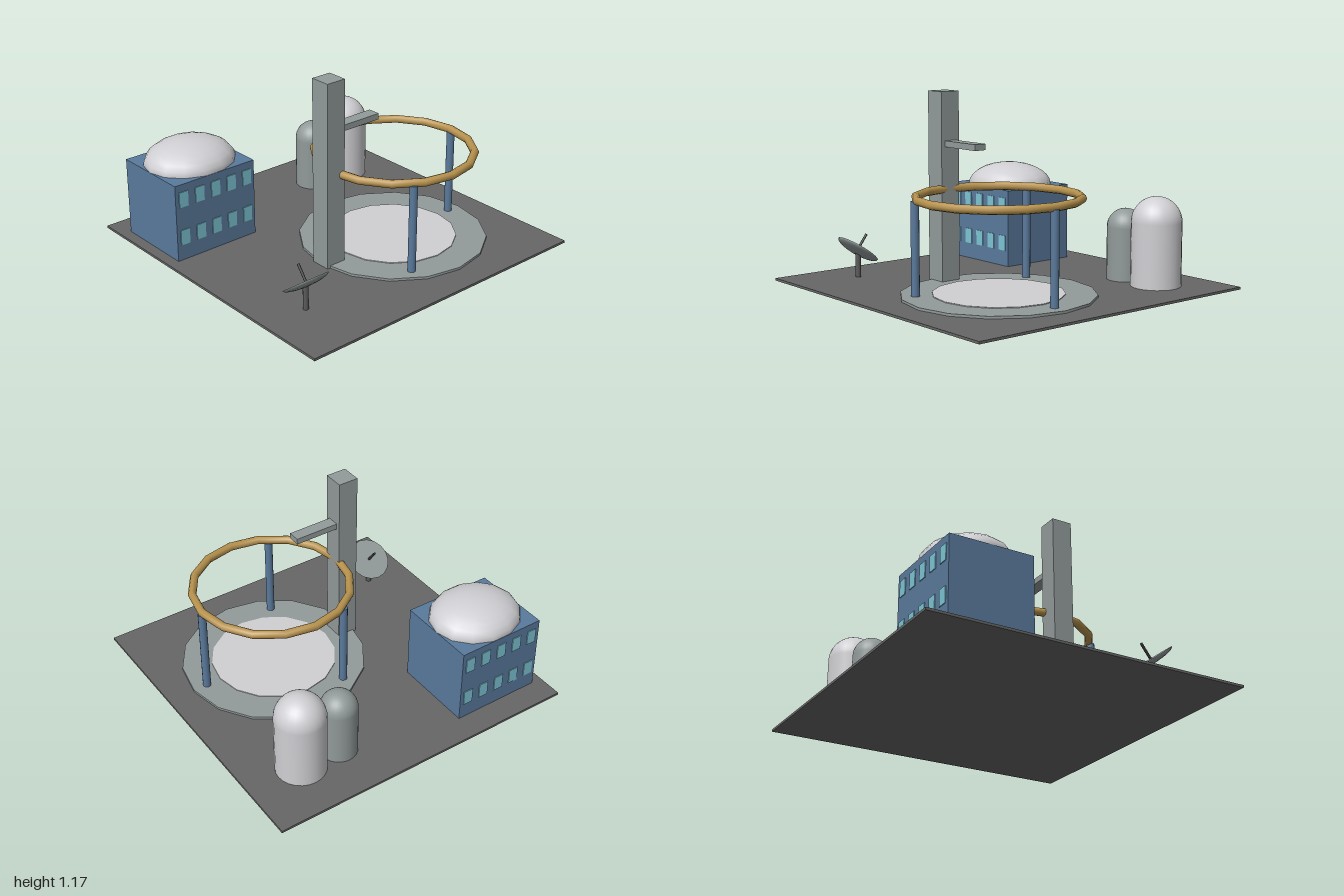
import * as THREE from 'three';

const material = (name, color) => {
  const m = new THREE.MeshStandardMaterial({ color });
  m.name = name;
  return m;
};

export function createModel() {
  const asphalt = material('asphalt', 0x666666);
  const grey = material('concreteGrey', 0x929a9a);
  const pale = material('paleGrey', 0xd0d0d4);
  const blue = material('steelBlue', 0x5a7a9c);
  const glass = material('windowGlass', 0x7cc4d4);
  const gold = material('ochre', 0xb8934e);
  const dark = material('darkGrey', 0x5c5c5c);
  const black = material('charcoal', 0x3a3a3a);

  const root = new THREE.Group();
  root.name = 'launchBase';
  const add = (parent, name, geometry, mat, x = 0, y = 0, z = 0) => {
    const mesh = new THREE.Mesh(geometry, mat);
    mesh.name = name;
    mesh.position.set(x, y, z);
    parent.add(mesh);
    return mesh;
  };
  const group = (name, x, y, z) => {
    const g = new THREE.Group();
    g.name = name;
    g.position.set(x, y, z);
    root.add(g);
    return g;
  };
  // Places a shape by its bottom height
  const box = (p, name, mat, w, h, d, x, y, z) =>
    add(p, name, new THREE.BoxGeometry(w, h, d), mat, x, y + h / 2, z);
  const post = (p, name, mat, r, h, sides, x, y, z) =>
    add(p, name, new THREE.CylinderGeometry(r, r, h, sides), mat, x, y + h / 2, z);

  const top = 0.015;
  box(root, 'ground', asphalt, 2, top, 2, 0, 0, 0);

  // Round pad with a raised ring on three pillars
  const pad = group('launchPad', 0.257, 0, 0.257);
  post(pad, 'padBase', grey, 0.575, 0.015, 16, 0, top, 0);
  post(pad, 'padCentre', pale, 0.39, 0.005, 16, 0, 0.03, 0);
  add(pad, 'ring', new THREE.TorusGeometry(0.48, 0.026, 8, 16), gold, 0, 0.59, 0).rotation.x = Math.PI / 2;
  for (let i = 0; i < 3; i++) {
    const a = (i * 2 * Math.PI) / 3;
    post(pad, 'pillar', blue, 0.025, 0.565, 12, Math.cos(a) * 0.483, top, Math.sin(a) * 0.483);
  }

  // Service tower and its arm
  const tower = group('serviceTower', -0.26, 0, 0.257);
  box(tower, 'towerMast', grey, 0.13, 1.16, 0.13, 0, top, 0);
  box(tower, 'towerArm', grey, 0.29, 0.037, 0.077, 0.205, 0.845, 0);

  // Domed building with windows on front and back
  const building = group('building', -0.643, 0, -0.583);
  box(building, 'walls', blue, 0.575, 0.49, 0.512, 0, top, 0);
  const dome = new THREE.SphereGeometry(1, 14, 7, 0, Math.PI * 2, 0, Math.PI / 2);
  add(building, 'dome', dome, pale, 0, 0.505, 0).scale.set(0.288, 0.142, 0.26);
  for (const side of [-1, 1])
    for (const y of [0.115, 0.36])
      for (let i = -2; i <= 2; i++)
        box(building, 'window', glass, 0.063, 0.097, 0.008, i * 0.1155, y, side * 0.257);

  // Storage tanks with round tops
  const tank = (name, mat, r, wall, x) => {
    const g = group(name, x, 0, -0.645);
    post(g, 'tankWall', mat, r, wall - top, 24, 0, top, 0);
    add(g, 'tankTop', new THREE.SphereGeometry(r, 24, 10, 0, Math.PI * 2, 0, Math.PI / 2), mat, 0, wall, 0);
  };
  tank('largeTank', pale, 0.153, 0.402, 0.643);
  tank('smallTank', grey, 0.113, 0.34, 0.382);

  // Dish antenna, tilted up and towards the back
  const antenna = group('antenna', -0.71, 0, 0.583);
  post(antenna, 'antennaPost', dark, 0.017, 0.15, 10, 0, top, 0);
  const dish = new THREE.Group();
  dish.name = 'dish';
  dish.position.y = 0.19;
  dish.rotation.x = -0.645;
  antenna.add(dish);
  const bowl = new THREE.SphereGeometry(0.14, 16, 6, 0, Math.PI * 2, Math.PI / 2, Math.PI / 2);
  add(dish, 'dishBack', bowl, grey).scale.y = 0.22;
  add(dish, 'dishFace', new THREE.CircleGeometry(0.14, 16), grey).rotation.x = -Math.PI / 2;
  post(dish, 'feedRod', black, 0.008, 0.105, 8, 0, 0, 0);

  return root;
}
